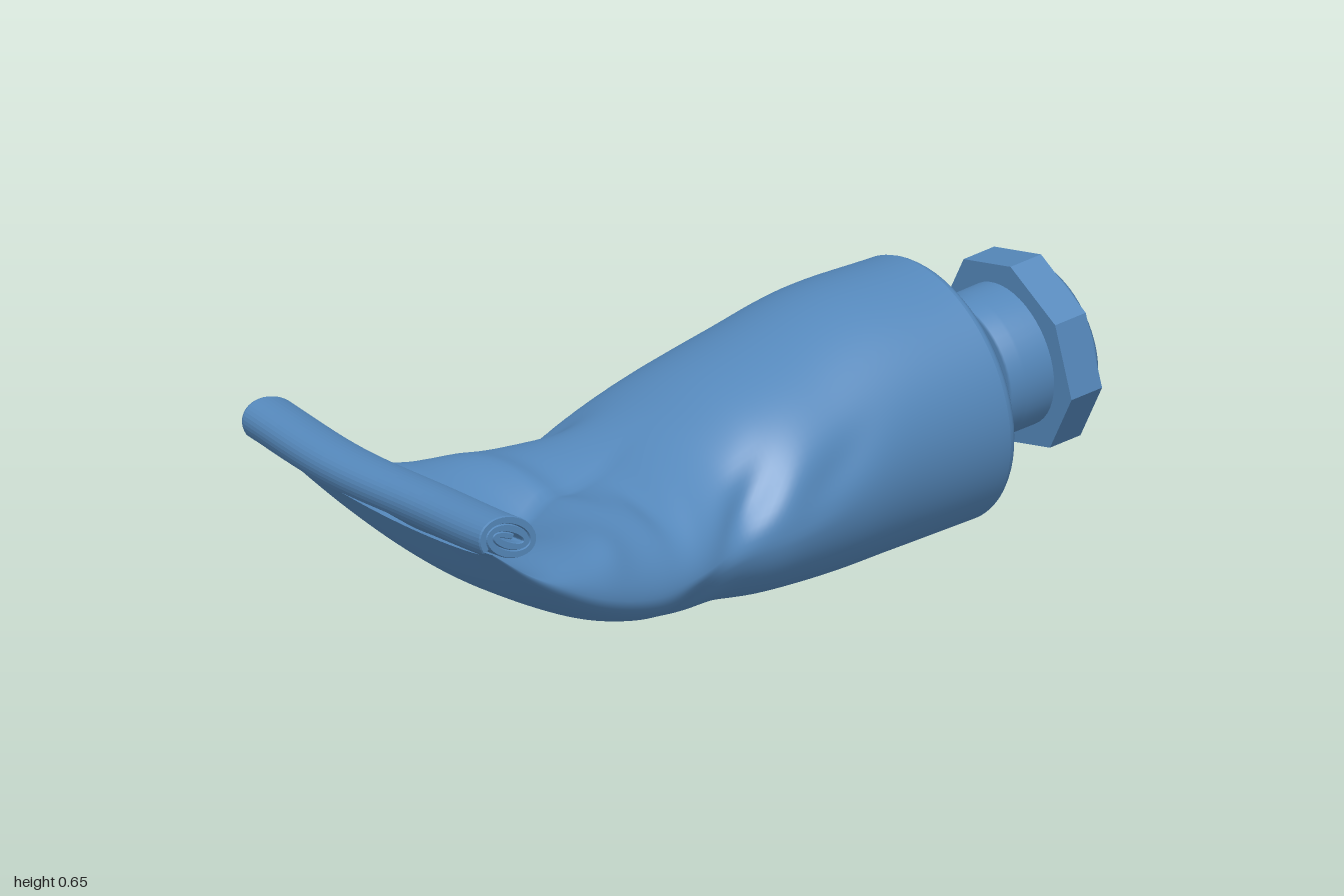
import * as THREE from 'three';

const TILT = 0.094; // upward tilt of the nozzle axis

const clamp01 = (v) => Math.min(1, Math.max(0, v));
const smooth = (v) => { const t = clamp01(v); return t * t * (3 - 2 * t); };
const v2 = (list) => list.map(([r, s]) => new THREE.Vector2(r, s));

// x, bottom y, side y, top y, back z, front z
const STATIONS = [
  [0.63, 0.02, 0.335, 0.65, -0.285, 0.345],
  [0.4, 0.003, 0.32, 0.63, -0.315, 0.35],
  [0.2, 0.002, 0.29, 0.58, -0.33, 0.37],
  [0, 0.016, 0.265, 0.52, -0.34, 0.385],
  [-0.15, 0.036, 0.245, 0.44, -0.355, 0.375],
  [-0.3, 0.057, 0.23, 0.365, -0.355, 0.41],
  [-0.45, 0.097, 0.23, 0.31, -0.39, 0.45],
  [-0.6, 0.15, 0.265, 0.285, -0.4, 0.485],
  [-0.72, 0.22, 0.315, 0.31, -0.42, 0.5],
  [-0.82, 0.305, 0.37, 0.36, -0.445, 0.5],
  [-0.92, 0.42, 0.445, 0.435, -0.48, 0.487],
];

// Creases: x, angle, length along x, spread in angle, slant, depth (negative bulges)
const CREASES = [
  [-0.1, 0.45, 0.1, 0.25, 2, 0.03],
  [-0.22, 2.5, 0.07, 0.3, -2, 0.025],
  [-0.32, 1.0, 0.05, 0.4, 3, 0.025],
  [-0.45, 1.7, 0.05, 0.5, -2, -0.03],
  [-0.55, 0.7, 0.06, 0.3, 2, -0.015],
  [-0.3, 5.9, 0.08, 0.3, 1, 0.015],
  [-0.58, 3.5, 0.07, 0.3, -1, 0.015],
  [0.12, 0.3, 0.12, 0.2, 1, 0.012],
  [-0.65, 5.2, 0.07, 0.4, 1, 0.01],
];

function bodyPoint(s, a) {
  const [x, yb, ye, yt, z0, z1] = s;
  const sin = Math.sin(a), cos = Math.cos(a), m = Math.abs(sin);
  const squash = smooth((-0.1 - x) / 0.45);
  const rear = smooth((-0.3 - x) / 0.6);
  const lobe = squash * (1 - smooth((-0.6 - x) / 0.3));
  let px = x, pz = (z0 + z1) / 2 + (z1 - z0) / 2 * cos;
  let py = sin >= 0
    ? ye + (yt - ye) * Math.pow(m, 1 + 0.6 * squash) + 0.085 * lobe * Math.abs(Math.sin(2 * a))
    : ye + (yb - ye) * m;
  for (const [cx, ca, lx, la, slant, depth] of CREASES) {
    const dx = x - cx;
    const da = a - ca - slant * dx;
    const d = depth * Math.exp(-((dx / lx) ** 2) - (da / la) ** 2);
    py -= d * sin;
    pz -= d * cos;
  }
  px -= TILT * (py - 0.335) * smooth((x + 0.2) / 0.8) + 0.095 * pz * rear;
  py += (0.04 * pz + 0.07 * pz * pz) * rear;
  return [px, py, pz];
}

// Squeezed body: round at the shoulder, flat and dished at the rolled end
function createBody() {
  const curves = [0, 3].map((k) => new THREE.CatmullRomCurve3(
    STATIONS.map((s) => new THREE.Vector3(s[k], s[k + 1], s[k + 2])), false, 'catmullrom', 0.5));
  const rings = 90, sides = 96, pos = [], index = [];
  for (let i = 0; i <= rings; i++) {
    const s = curves.flatMap((c) => c.getPoint(i / rings).toArray());
    for (let j = 0; j < sides; j++) {
      pos.push(...bodyPoint(s, j / sides * Math.PI * 2));
      if (i === rings) continue;
      const a = i * sides + j, b = i * sides + (j + 1) % sides;
      index.push(a, b, a + sides, b, b + sides, a + sides);
    }
  }
  const g = new THREE.BufferGeometry();
  g.setAttribute('position', new THREE.Float32BufferAttribute(pos, 3));
  g.setIndex(index);
  g.computeVertexNormals();
  return g;
}

// Rolled-up tail: flat spiral ribbon, extruded across and bent to follow the sheet
function createRoll() {
  const outer = [], inner = [], n = 100, turns = 2.4;
  for (let i = 0; i <= n; i++) {
    const t = i / n, a = Math.PI * 1.25 - t * turns * Math.PI * 2;
    const gap = 0.047 * (1 - t), thick = 0.015;
    const r = 0.012 + gap;
    const at = (q) => new THREE.Vector2((q + 0.031) * Math.cos(a), q * Math.sin(a))
      .rotateAround(new THREE.Vector2(), -0.38);
    outer.push(at(r));
    inner.push(at(Math.max(0.002, r - thick)));
  }
  const g = new THREE.ExtrudeGeometry(new THREE.Shape([...outer, ...inner.reverse()]), {
    depth: 0.985, steps: 24, bevelEnabled: true, bevelSize: 0.002, bevelThickness: 0.005, bevelSegments: 1,
  });
  g.translate(0, 0, -0.5);
  const p = g.attributes.position;
  for (let i = 0; i < p.count; i++) {
    const z = p.getZ(i);
    p.setX(i, p.getX(i) - 0.87 - 0.09 * z + 0.006 * Math.sin(z * 9));
    p.setY(i, p.getY(i) + 0.462 + 0.055 * z + 0.085 * z * z);
  }
  g.computeVertexNormals();
  return g;
}

export function createModel() {
  const model = new THREE.Group();
  model.name = 'squeezedTube';
  const color = 0x5588bb;
  const paint = new THREE.MeshStandardMaterial({ color, side: THREE.DoubleSide });
  const faceted = new THREE.MeshStandardMaterial({ color, flatShading: true });
  const add = (parent, name, geometry, material = paint) => {
    const mesh = new THREE.Mesh(geometry, material);
    mesh.name = name;
    parent.add(mesh);
  };

  add(model, 'body', createBody());
  add(model, 'rolledEnd', createRoll());

  // Shoulder and cap share the tilted nozzle axis
  const nozzle = new THREE.Group();
  nozzle.name = 'nozzle';
  nozzle.position.set(0.63, 0.335, 0.03);
  nozzle.rotation.z = -Math.PI / 2 + TILT;
  model.add(nozzle);

  add(nozzle, 'shoulder', new THREE.LatheGeometry(v2([
    [0.315, -0.005], [0.313, 0.008], [0.305, 0.018], [0.295, 0.026], [0.14, 0.105], [0.132, 0.11], [0.132, 0.15],
  ]), 64));
  add(nozzle, 'capCollar', new THREE.LatheGeometry(v2([
    [0.12, 0.12], [0.16, 0.12], [0.165, 0.124], [0.166, 0.16], [0.17, 0.165], [0.171, 0.25],
  ]), 48));
  // Eight-sided grip
  add(nozzle, 'capGrip', new THREE.LatheGeometry(v2([
    [0.1, 0.24], [0.234, 0.24], [0.234, 0.328], [0.1, 0.328],
  ]), 8, 0.175), faceted);
  // Raised rim around a shallow recess
  add(nozzle, 'capFace', new THREE.LatheGeometry(v2([
    [0.19, 0.325], [0.19, 0.348], [0.186, 0.355], [0.172, 0.357], [0.167, 0.353], [0.164, 0.34], [0.16, 0.338], [0, 0.338],
  ]), 64));
  return model;
}
